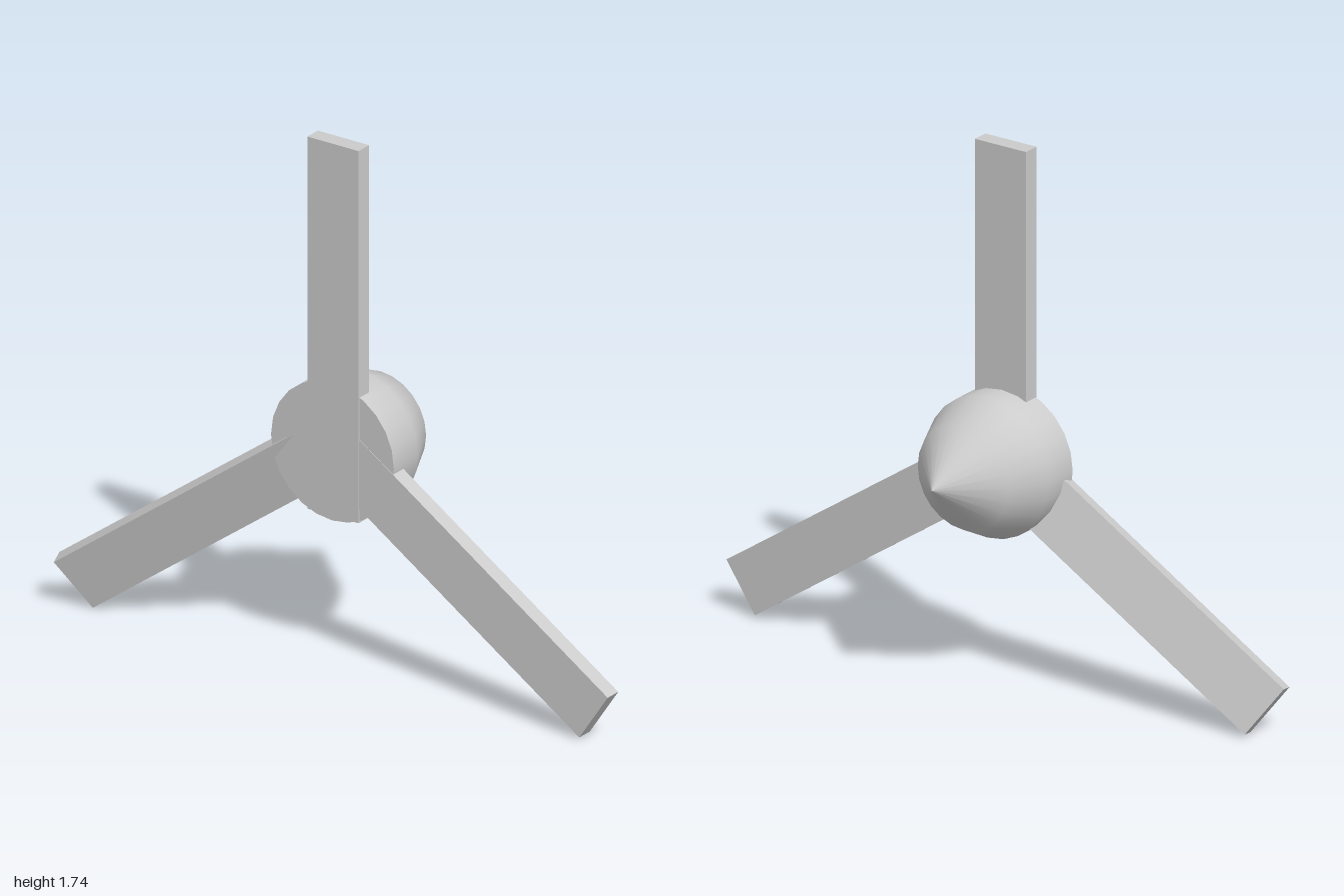
import * as THREE from 'three';

const BLADE = { thick: 0.055, length: 1.23, width: 0.19 };

// A plank that ends at `tip`, runs along `along`, with its broad face towards `face`
function makeBlade(name, material, tip, along, face) {
  const u = new THREE.Vector3(...along).normalize();
  const t = new THREE.Vector3(...face);
  t.addScaledVector(u, -t.dot(u)).normalize();
  const w = new THREE.Vector3().crossVectors(t, u);
  const geometry = new THREE.BoxGeometry(BLADE.thick, BLADE.length, BLADE.width);
  geometry.translate(0, -BLADE.length / 2, 0);
  const blade = new THREE.Mesh(geometry, material);
  blade.quaternion.setFromRotationMatrix(new THREE.Matrix4().makeBasis(t, u, w));
  blade.position.set(...tip);
  blade.name = name;
  return blade;
}

// Pointed nose cone with a flat back, turned around the x axis
function makeHub(material) {
  const profile = [
    [0, -0.155], [0.228, -0.155], [0.228, -0.155],
    [0.228, -0.03], [0.17, 0.095], [0, 0.26],
  ].map(([r, h]) => new THREE.Vector2(r, h));
  const geometry = new THREE.LatheGeometry(profile, 24);
  geometry.rotateZ(-Math.PI / 2);
  // the nose leans up very slightly
  const p = geometry.attributes.position;
  for (let i = 0; i < p.count; i++) {
    const ahead = Math.max(0, p.getX(i) + 0.03);
    p.setY(i, p.getY(i) + 0.05 * ahead);
  }
  const hub = new THREE.Mesh(geometry, material);
  hub.position.set(0, 0.72, -0.025);
  hub.name = 'hub';
  return hub;
}

export function createModel() {
  const material = new THREE.MeshStandardMaterial({ color: 0xcccccc });
  const group = new THREE.Group();
  group.name = 'propeller';
  group.add(
    makeHub(material),
    makeBlade('upperBlade', material, [-0.132, 1.74, -0.02], [0, 1, 0], [1, 0, 0]),
    makeBlade('frontBlade', material, [-0.129, 0.088, 0.945], [0, -0.556, 0.83], [1, 0, 0]),
    // the rear blade is swept back and twisted
    makeBlade('rearBlade', material, [-0.206, 0.081, -0.94], [-0.107, -0.585, -0.804], [0.935, 0.215, -0.281]),
  );
  return group;
}
